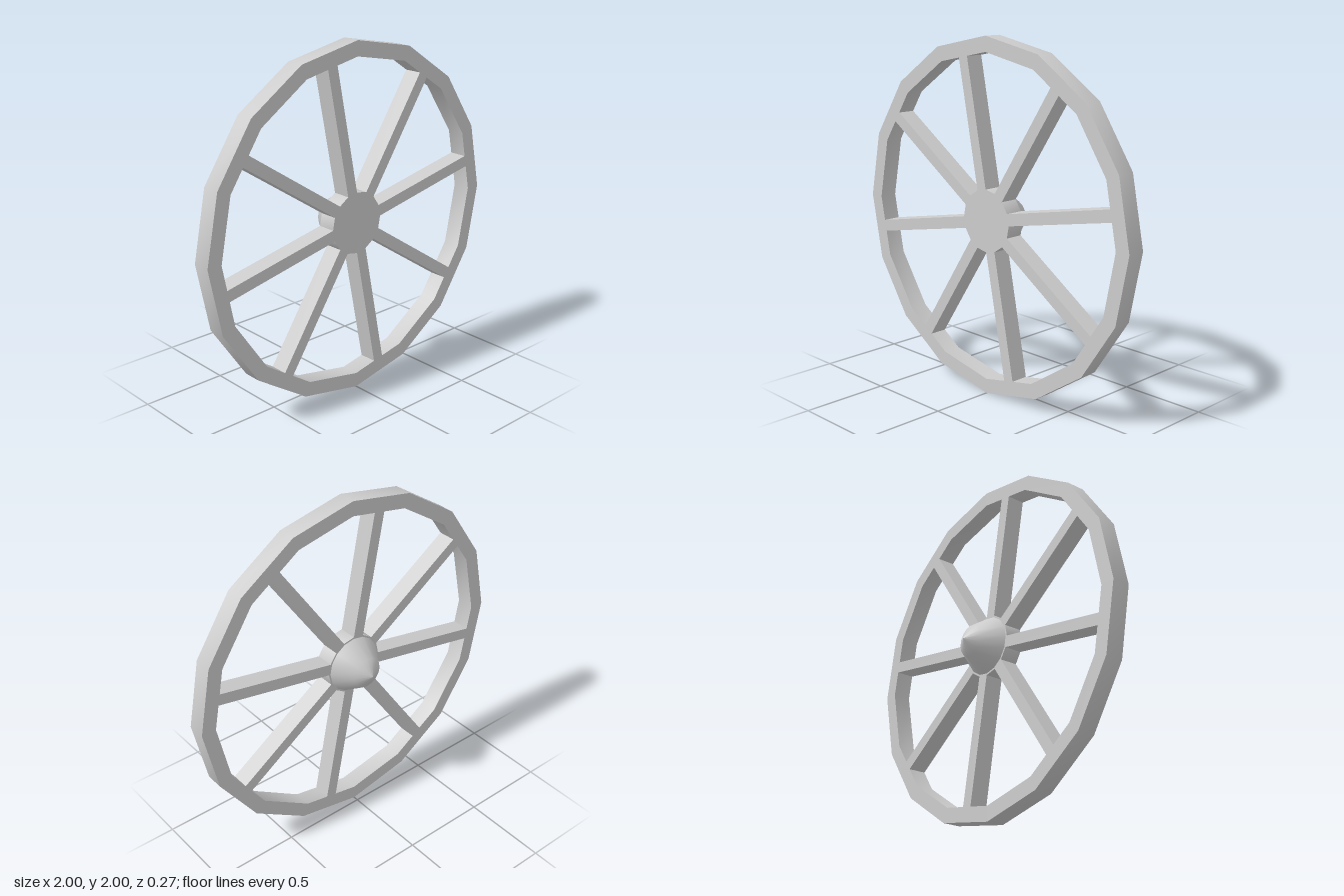
import * as THREE from 'three';
import { toCreasedNormals } from 'three/addons/utils/BufferGeometryUtils.js';

const SIDES = 16;
const BACK = 0.03, DEPTH = 0.105;
const RIM_OUTER = 1, RIM_INNER = 0.915, HUB_RADIUS = 0.176;
const SPOKES = 8, SPOKE_WIDTH = 0.066;

function polygon(radius) {
  return Array.from({ length: SIDES }, (_, i) => {
    const a = (i / SIDES) * Math.PI * 2;
    return new THREE.Vector2(radius * Math.cos(a), radius * Math.sin(a));
  });
}

// Extrudes a shape through the thickness of the wheel, smoothing only the shallow corners
function slab(shape) {
  const g = new THREE.ExtrudeGeometry(shape, { depth: DEPTH, bevelEnabled: false });
  g.translate(0, 0, BACK);
  return toCreasedNormals(g, Math.PI / 6);
}

export function createModel() {
  const wheel = new THREE.Group();
  wheel.name = 'wheel';
  const material = new THREE.MeshStandardMaterial({ color: 0xcccccc });

  const add = (name, geometry) => {
    const mesh = new THREE.Mesh(geometry, material);
    mesh.name = name;
    wheel.add(mesh);
    return mesh;
  };

  // Sixteen-sided rim
  const rim = new THREE.Shape(polygon(RIM_OUTER));
  rim.holes.push(new THREE.Path(polygon(RIM_INNER)));
  add('rim', slab(rim));

  // Hub plate
  add('hub', slab(new THREE.Shape(polygon(HUB_RADIUS))));

  // Spokes join the middle of a hub side to the middle of a rim side
  const apothem = Math.cos(Math.PI / SIDES);
  const start = HUB_RADIUS * apothem, end = RIM_INNER * apothem;
  const spoke = new THREE.BoxGeometry(end - start, SPOKE_WIDTH, DEPTH);
  spoke.translate((start + end) / 2, 0, BACK + DEPTH / 2);
  for (let i = 0; i < SPOKES; i++) {
    add(`spoke${i + 1}`, spoke).rotation.z = Math.PI / SIDES + (i / SPOKES) * Math.PI * 2;
  }

  // Pointed hub cap on the back
  const profile = [[0.166, 0], [0.09, 0.115], [0, 0.165]].map(([r, h]) => new THREE.Vector2(r, h));
  const cap = new THREE.LatheGeometry(profile, SIDES);
  cap.rotateX(-Math.PI / 2);
  cap.translate(0, 0, BACK);
  add('hubCap', cap);

  wheel.position.y = 1;
  const model = new THREE.Group();
  model.name = 'spokedWheel';
  model.add(wheel);
  return model;
}
